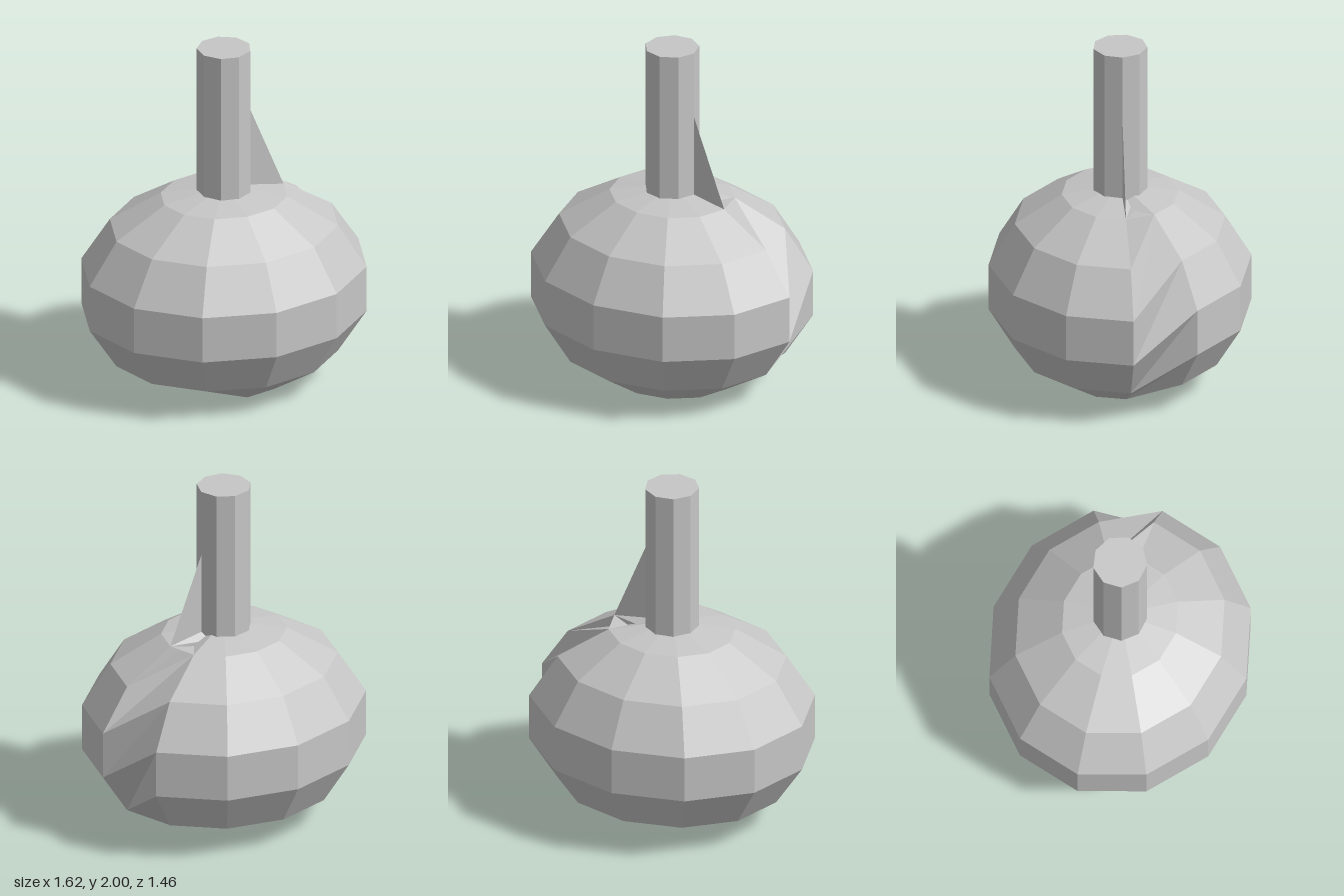
import * as THREE from 'three';

const COLS = 12;
// [height, x radius] of each ring, top to bottom; depth is a fixed share of width
const RINGS = [[1.105, 0.36], [0.935, 0.65], [0.69, 0.812], [0.42, 0.812], [0.175, 0.65], [0.003, 0.36]];
const DEPTH = 0.902;

// Point on ring i at column j; column 0 is on +x, column 3 on +z
function ringPoint(i, j) {
  const [y, r] = RINGS[i];
  const a = (j / COLS) * Math.PI * 2;
  return [r * Math.cos(a), y, r * DEPTH * Math.sin(a)];
}

function meshFromTriangles(name, triangles, material) {
  const geometry = new THREE.BufferGeometry();
  geometry.setAttribute('position', new THREE.Float32BufferAttribute(triangles.flat(2), 3));
  geometry.computeVertexNormals();
  const mesh = new THREE.Mesh(geometry, material);
  mesh.name = name;
  return mesh;
}

export function createModel() {
  const group = new THREE.Group();
  group.name = 'flask';
  const grey = new THREE.MeshStandardMaterial({ color: 0xc6c6c6, flatShading: true, side: THREE.DoubleSide });
  grey.name = 'grey';

  const pole = [0, 1.162, 0];
  const last = COLS - 1;
  const body = [], seam = [];
  const quad = (list, a, b, c, d) => list.push([a, b, d], [a, d, c]);

  // Round body: top fan and regular bands; the lowest band covers a quarter only
  for (let j = 0; j < last; j++) {
    body.push([pole, ringPoint(0, j + 1), ringPoint(0, j)]);
    for (let i = 0; i < 5; i++) {
      if (i === 4 && j > 2) continue;
      quad(body, ringPoint(i, j), ringPoint(i, j + 1), ringPoint(i + 1, j), ringPoint(i + 1, j + 1));
    }
  }
  body.push([ringPoint(4, 3), ringPoint(4, 4), ringPoint(5, 3)]);
  group.add(meshFromTriangles('body', body, grey));

  // Twisted seam: the last column joins one ring lower on its far side
  seam.push([pole, ringPoint(1, 0), ringPoint(0, last)]);
  seam.push([pole, ringPoint(0, 0), ringPoint(1, 0)]);
  for (let i = 0; i < 4; i++) {
    quad(seam, ringPoint(i, last), ringPoint(i + 1, 0), ringPoint(i + 1, last), ringPoint(i + 2, 0));
  }
  group.add(meshFromTriangles('twistedSeam', seam, grey));

  // Small shards at the top of the seam
  group.add(meshFromTriangles('seamShards', [
    [ringPoint(0, last), [0.24, 1.097, -0.06], ringPoint(0, 0)],
    [ringPoint(0, 0), [0.2, 1.105, -0.04], [0.14, 1.121, -0.03]],
    [ringPoint(0, 0), [0.14, 1.121, -0.03], [0.14, 1.14, 0]],
  ], grey));

  // Upright fin between the neck and the shoulder
  group.add(meshFromTriangles('fin', [[pole, ringPoint(0, 0), [0, 1.98, 0]]], grey));

  // Nine-sided neck reaching down inside the body
  const neck = new THREE.Mesh(new THREE.CylinderGeometry(0.152, 0.152, 1.44, 9, 1, false, Math.PI / 2), grey);
  neck.name = 'neck';
  neck.position.y = 1.28;
  group.add(neck);

  return group;
}
